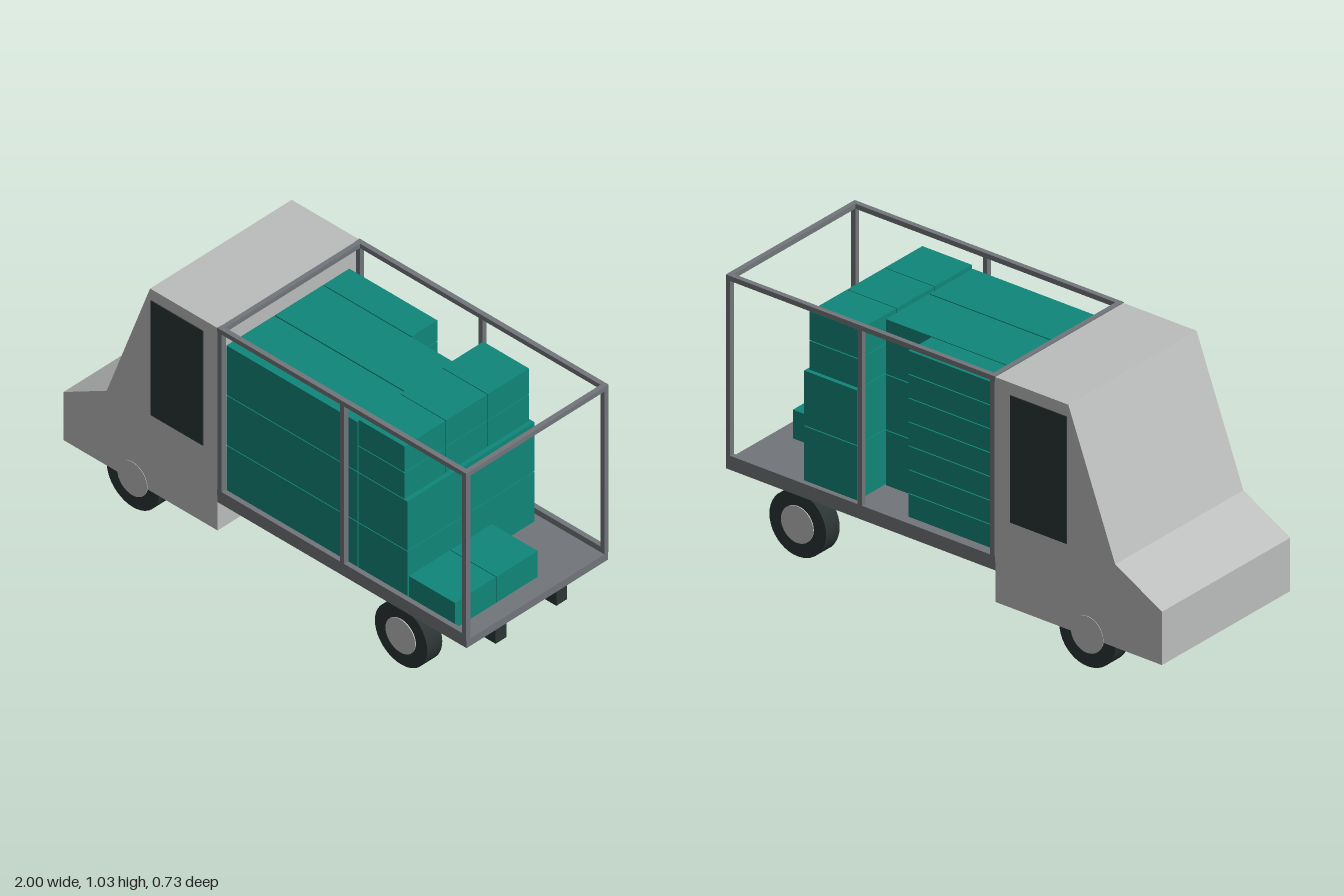
import * as THREE from 'three';

const mat = (name, color) => {
  const m = new THREE.MeshStandardMaterial({ color });
  m.name = name;
  return m;
};

export function createModel() {
  const paint = mat('lightGrey', 0xbbbdbc);
  const steel = mat('steelGrey', 0x71767a);
  const dark = mat('darkGrey', 0x2b3534);
  const teal = mat('teal', 0x0f8679);
  const truck = new THREE.Group();
  truck.name = 'truck';

  const add = (name, geometry, material, parent = truck) => {
    const mesh = new THREE.Mesh(geometry, material);
    mesh.name = name;
    parent.add(mesh);
    return mesh;
  };
  // Box given by its limits on each axis
  const box = (name, material, x0, x1, y0, y1, z0, z1, parent) => {
    const g = new THREE.BoxGeometry(x1 - x0, y1 - y0, z1 - z0);
    g.translate((x0 + x1) / 2, (y0 + y1) / 2, (z0 + z1) / 2);
    return add(name, g, material, parent);
  };

  // Cab: side profile extruded across the width
  const W = 0.363;
  const profile = new THREE.Shape([
    [-1, 0.12], [-0.235, 0.12], [-0.235, 1.027], [-0.57, 1.027], [-0.785, 0.455], [-1, 0.335],
  ].map(([x, y]) => new THREE.Vector2(x, y)));
  const cab = new THREE.ExtrudeGeometry(profile, { depth: 2 * W, bevelEnabled: false });
  cab.translate(0, 0, -W);
  add('cab', cab, paint);

  // Deck and the two chassis beams below it
  box('deck', steel, -0.235, 1, 0.247, 0.28, -W, W);
  const rack = new THREE.Group();
  rack.name = 'rack';
  truck.add(rack);

  for (const s of [1, -1]) {
    const side = s > 0 ? 'left' : 'right';
    const span = (a, b) => (s > 0 ? [a, b] : [-b, -a]);
    box(side + 'Window', dark, -0.565, -0.305, 0.465, 0.978, ...span(W - 0.002, W + 0.004));
    box(side + 'ChassisBeam', dark, -0.235, 0.97, 0.152, 0.247, ...span(0.128, 0.183));

    // Side rails and posts of the open rack
    const z = span(0.344, 0.365);
    box(side + 'LowerRail', steel, -0.235, 1, 0.28, 0.305, ...z, rack);
    box(side + 'UpperRail', steel, -0.235, 1, 1.01, 1.03, ...z, rack);
    for (const x of [-0.233, 0.375, 0.98]) {
      box(side + 'Post', steel, x, x + 0.02, 0.305, 1.01, ...z, rack);
    }

    // Wheels with flat hub discs
    for (const [end, x] of [['Front', -0.657], ['Rear', 0.673]]) {
      const tyre = new THREE.CylinderGeometry(0.13, 0.13, 0.077, 40).rotateX(Math.PI / 2);
      add(side + end + 'Tyre', tyre, dark).position.set(x, 0.13, s * 0.3225);
      const hub = new THREE.CylinderGeometry(0.074, 0.074, 0.01, 32).rotateX(Math.PI / 2);
      add(side + end + 'Hub', hub, paint).position.set(x, 0.13, s * 0.36);
    }
  }
  // Cross rails at the top of the rack
  for (const x of [-0.233, 0.98]) box('crossRail', steel, x, x + 0.02, 1.01, 1.03, -0.344, 0.344, rack);

  // Cargo: stacks of boxes with narrow gaps
  const cargo = new THREE.Group();
  cargo.name = 'cargo';
  truck.add(cargo);
  const stack = (name, n, x0, x1, y0, pitch, z0, z1, gap = 0.004) => {
    for (let i = 0; i < n; i++) {
      box(name, teal, x0, x1, y0 + i * pitch, y0 + (i + 1) * pitch - gap, z0, z1, cargo);
    }
  };
  stack('longBox', 3, -0.212, 0.438, 0.28, 0.2245, 0.097, 0.341);
  stack('longBox', 3, -0.212, 0.438, 0.28, 0.2245, -0.152, 0.092);
  stack('flatBox', 7, -0.212, 0.225, 0.28, 0.0962, -0.288, -0.156);
  stack('wideBox', 2, 0.443, 0.685, 0.28, 0.2245, -0.31, 0.341);
  // Small boxes in rows across the load
  [0.341, 0.127, -0.087].forEach((z, i) => {
    stack('smallBox', 2, 0.443, 0.67, 0.729, 0.1195, z - 0.211, z);
    if (i < 2) stack('smallBox', 1, 0.692, 0.92, 0.28, 0.1195, z - 0.211, z);
  });

  return truck;
}
